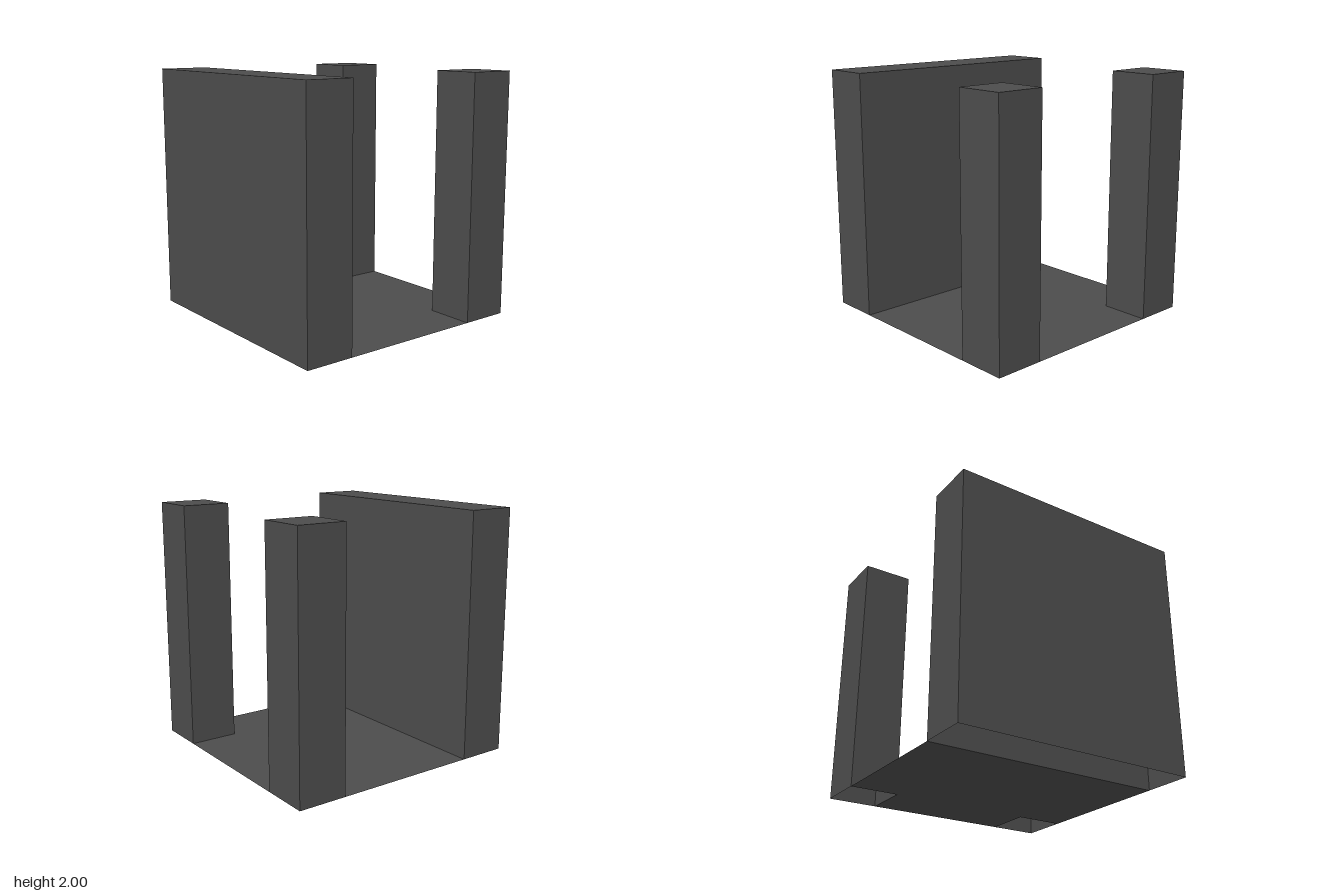
import * as THREE from 'three';

// Box standing on y = 0 with its underside left open
function openBottomBox(width, height, depth) {
  const geometry = new THREE.BoxGeometry(width, height, depth);
  const index = Array.from(geometry.index.array);
  index.splice(18, 6); // the downward face
  geometry.setIndex(index);
  geometry.clearGroups();
  geometry.translate(0, height / 2, 0);
  return geometry;
}

export function createModel() {
  const group = new THREE.Group();
  group.name = 'walledPlatform';

  const material = new THREE.MeshStandardMaterial({ color: 0x4c4c4c, side: THREE.DoubleSide });
  material.name = 'darkGrey';

  const add = (name, geometry, x = 0, z = 0) => {
    const mesh = new THREE.Mesh(geometry, material);
    mesh.name = name;
    mesh.position.set(x, 0, z);
    group.add(mesh);
  };

  // Full-length wall along one side
  add('sideWall', openBottomBox(0.4, 2, 2), -0.8, 0);

  // Two square posts on the opposite corners
  for (const side of [1, -1]) {
    add(side > 0 ? 'frontPost' : 'backPost', openBottomBox(0.4, 2, 0.4), 0.8, side * 0.8);
  }

  // Paper-thin floor, cut out around the posts
  const outline = [[-0.6, -1], [0.6, -1], [0.6, -0.6], [1, -0.6], [1, 0.6], [0.6, 0.6], [0.6, 1], [-0.6, 1]];
  const shape = new THREE.Shape(outline.map(([x, y]) => new THREE.Vector2(x, y)));
  add('floor', new THREE.ShapeGeometry(shape).rotateX(-Math.PI / 2));

  return group;
}
